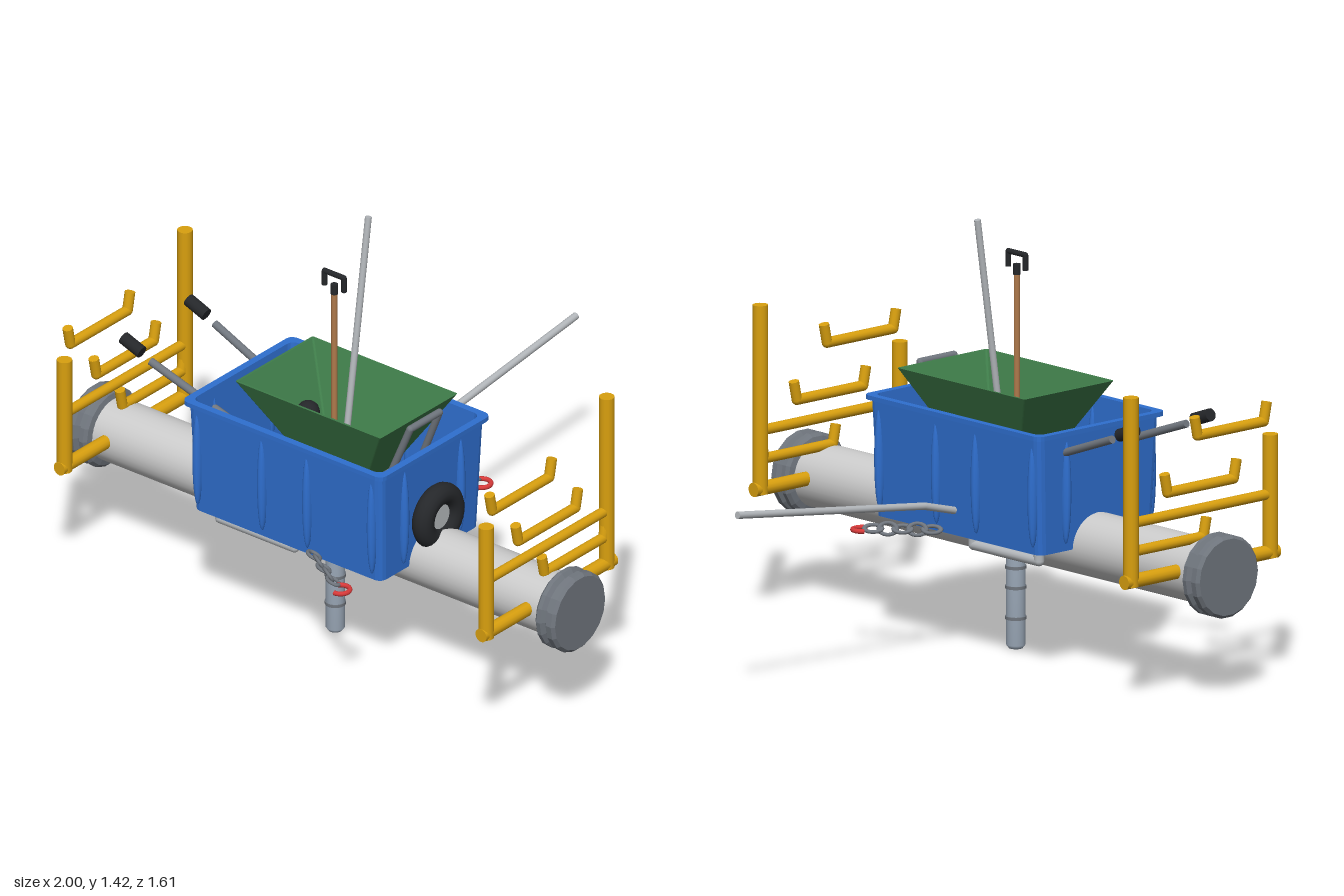
import * as THREE from 'three';

const mat = (color) => new THREE.MeshStandardMaterial({ color });
const GREY = mat(0xcccccc), STEEL = mat(0x70767e), METAL = mat(0xb4b8bc), PIPE = mat(0x96a3b2);
const YELLOW = mat(0xd9a00f), BLUE = mat(0x2f6fcf), GREEN = mat(0x3f7d4a);
const BLACK = mat(0x25272a), RED = mat(0xd83a3a), WOOD = mat(0xb07a4c);
const Z = 0.39; // depth of the main tube axis

const V = (p) => new THREE.Vector3(...p);

export function createModel() {
  const model = new THREE.Group();

  function add(name, geometry, material, pos = [0, 0, 0], parent = model) {
    const m = new THREE.Mesh(geometry, material);
    m.name = name;
    m.position.set(...pos);
    parent.add(m);
    return m;
  }

  // Straight round bar between two points
  function rod(name, a, b, r, material, parent = model, sides = 14) {
    const d = V(b).sub(V(a));
    const m = add(name, new THREE.CylinderGeometry(r, r, d.length(), sides), material,
      V(a).add(V(b)).multiplyScalar(0.5).toArray(), parent);
    m.quaternion.setFromUnitVectors(new THREE.Vector3(0, 1, 0), d.normalize());
    return m;
  }

  // Bent bar through several points, with round elbows
  function bentRod(name, pts, r, material, parent = model) {
    const g = new THREE.Group();
    g.name = name;
    parent.add(g);
    pts.slice(1).forEach((p, i) => {
      rod(name + 'Bar', pts[i], p, r, material, g);
      if (i > 0) add(name + 'Elbow', new THREE.SphereGeometry(r, 12, 8), material, pts[i], g);
    });
    return g;
  }

  // Rounded rectangular shell through levels [halfX, y, halfZ], floors at both ends
  function shell(levels, corner) {
    const rings = levels.map(([hx, y, hz]) => {
      const ring = [];
      for (let q = 0; q < 4; q++) {
        const sx = q === 0 || q === 3 ? 1 : -1, sz = q < 2 ? 1 : -1;
        for (let k = 0; k <= 3; k++) {
          const a = (q + k / 3) * Math.PI / 2;
          ring.push([sx * (hx - corner) + corner * Math.cos(a), y, sz * (hz - corner) + corner * Math.sin(a)]);
        }
      }
      return ring;
    });
    const n = rings[0].length, pos = [];
    const tri = (a, b, c) => pos.push(...a, ...b, ...c);
    for (let i = 0; i + 1 < rings.length; i++) for (let j = 0; j < n; j++) {
      const k = (j + 1) % n, [lo, hi] = [rings[i], rings[i + 1]];
      tri(lo[j], hi[j], hi[k]);
      tri(lo[j], hi[k], lo[k]);
    }
    const last = rings.length - 1;
    for (let j = 1; j < n - 1; j++) {
      tri(rings[0][0], rings[0][j], rings[0][j + 1]);
      tri(rings[last][0], rings[last][j + 1], rings[last][j]);
    }
    const g = new THREE.BufferGeometry();
    g.setAttribute('position', new THREE.Float32BufferAttribute(pos, 3));
    g.computeVertexNormals();
    return g;
  }

  // Main tube with grooved end caps
  rod('mainTube', [-0.95, 0.405, Z], [0.95, 0.405, Z], 0.105, GREY, model, 32);
  for (const s of [-1, 1]) {
    const cap = new THREE.LatheGeometry([[0, 0.9], [0.105, 0.915], [0.125, 0.92], [0.135, 0.93], [0.135, 0.945],
      [0.12, 0.955], [0.12, 0.96], [0.135, 0.97], [0.135, 0.99], [0.125, 1], [0, 1]]
      .map(([x, y]) => new THREE.Vector2(x, y)), 18).toNonIndexed();
    cap.computeVertexNormals();
    add('endCap', cap, STEEL, [0, 0.405, Z]).rotation.z = -s * Math.PI / 2;
  }

  // Pipe below the tube with clamping rings
  add('lowerPipe', new THREE.LatheGeometry([[0, 0], [0.022, 0], [0.031, 0.012], [0.031, 0.32], [0, 0.32]]
    .map(([x, y]) => new THREE.Vector2(x, y)), 20), PIPE, [0, 0, 0.395]);
  for (const y of [0.1, 0.2, 0.265])
    add('pipeRing', new THREE.CylinderGeometry(0.034, 0.034, 0.01, 20), STEEL, [0, y, 0.395]);

  // Open storage bin with a rim and swelling ribs
  add('bin', shell([[0.385, 0.405, 0.245], [0.397, 0.785, 0.262], [0.411, 0.785, 0.275], [0.411, 0.8, 0.275],
    [0.386, 0.8, 0.25], [0.372, 0.42, 0.232]], 0.025), BLUE, [0, 0, Z]);
  const rib = new THREE.SphereGeometry(1, 12, 12);
  for (const s of [-1, 1]) {
    for (const x of [-0.36, -0.095, 0.09, 0.355])
      add('binRib', rib, BLUE, [x, 0.6, Z + s * 0.253]).scale.set(0.016, 0.17, 0.02);
    for (const z of [-0.14, 0.14])
      add('binRib', rib, BLUE, [s * 0.391, 0.6, Z + z]).scale.set(0.02, 0.17, 0.016);
  }

  // Wheelbarrow lying in the bin
  const barrow = new THREE.Group();
  barrow.name = 'wheelbarrow';
  model.add(barrow);
  add('barrowTray', shell([[0.135, 0.62, 0.065], [0.298, 0.885, 0.193], [0.29, 0.885, 0.185], [0.13, 0.628, 0.06]], 0.006),
    GREEN, [0.04, 0, 0.388], barrow);
  for (const s of [-1, 1]) {
    bentRod('barrowHandle', [[-0.63, 0.815, Z + s * 0.16], [-0.15, 0.64, Z + s * 0.125], [0.38, 0.55, Z + s * 0.05]],
      0.013, STEEL, barrow);
    rod('barrowGrip', [-0.665, 0.835, Z + s * 0.161], [-0.74, 0.863, Z + s * 0.162], 0.021, BLACK, barrow);
    const z = Z + s * 0.19;
    bentRod('barrowLeg', [[-0.32, 0.44, z], [-0.32, 0.37, z], [-0.165, 0.37, z], [-0.015, 0.37, z], [-0.015, 0.44, z]],
      0.017, METAL, barrow);
  }
  bentRod('barrowGuard', [[0.25, 0.6, 0.31], [0.365, 0.88, 0.32], [0.365, 0.88, 0.465], [0.25, 0.6, 0.475]], 0.012, STEEL, barrow);
  add('wheelTyre', new THREE.TorusGeometry(0.075, 0.036, 14, 32), BLACK, [0.418, 0.555, Z], barrow).rotation.y = Math.PI / 2;
  rod('wheelHub', [0.38, 0.555, Z], [0.43, 0.555, Z], 0.05, METAL, barrow, 24);

  // Tools standing in the tray
  rod('shovelShaft', [0, 0.63, 0.4], [0, 1.23, 0.4], 0.01, WOOD);
  rod('shovelSocket', [0, 1.215, 0.4], [0, 1.25, 0.4], 0.012, BLACK);
  bentRod('shovelGrip', [[-0.04, 1.235, 0.4], [-0.04, 1.285, 0.4], [0.04, 1.285, 0.4], [0.04, 1.235, 0.4]], 0.009, BLACK);
  rod('uprightPole', [0, 0.65, 0.344], [0, 1.42, 0.23], 0.011, METAL);
  bentRod('rearPole', [[0, 0.49, 0.13], [0, 0.525, 0], [0, 0.625, -0.805]], 0.012, METAL);
  add('redKnob', new THREE.SphereGeometry(0.06, 20, 12), RED, [0.035, 0.69, Z]).scale.y = 0.6;
  add('blackKnob', new THREE.SphereGeometry(0.038, 18, 12), BLACK, [-0.12, 0.74, 0.385]);
  rod('lever', [-0.12, 0.74, 0.385], [0.08, 0.74, 0.395], 0.009, BLACK);
  add('leverEnd', new THREE.SphereGeometry(0.018, 12, 8), BLACK, [0.08, 0.73, 0.42]);

  // Pair of tool racks with upturned hook bars
  for (const x of [-0.865, 0.865]) {
    const rack = new THREE.Group();
    rack.name = 'toolRack';
    rack.position.x = x;
    model.add(rack);
    rod('rackTallPost', [0, 0.4, 0.093], [0, 1.015, 0.093], 0.025, YELLOW, rack);
    rod('rackShortPost', [0, 0.4, 0.694], [0, 0.8, 0.694], 0.025, YELLOW, rack);
    rod('rackBase', [0, 0.416, 0.063], [0, 0.416, 0.72], 0.023, YELLOW, rack);
    rod('rackRail', [0, 0.605, 0.1], [0, 0.605, 0.69], 0.017, YELLOW, rack);
    for (const [y, front, back] of [[0.845, 0.665, 0.38], [0.68, 0.535, 0.25], [0.512, 0.405, 0.11]])
      bentRod('rackHook', [[0, y + 0.062, front + 0.013], [0, y, front], [0, y, back], [0, y + 0.062, back - 0.013]],
        0.017, YELLOW, rack);
  }

  // Chains with red hooks, front and back
  const link = new THREE.TorusGeometry(0.02, 0.006, 8, 16);
  for (const [a, b, hook] of [
    [[0.055, 0.085], [0.195, -0.04], [0.23, -0.055]],
    [[0.13, 0.66], [0.285, 0.752], [0.33, 0.77]]]) {
    const heading = Math.atan2(a[1] - b[1], b[0] - a[0]);
    for (let i = 0; i < 5; i++) {
      const t = i / 4;
      const m = add('chainLink', link, STEEL, [a[0] + (b[0] - a[0]) * t, 0.425, a[1] + (b[1] - a[1]) * t]);
      m.rotation.set(i % 2 ? 0.5 : Math.PI / 2 - 0.4, heading, 0, 'YXZ');
      m.scale.x = 1.4;
    }
    const h = add('chainHook', new THREE.TorusGeometry(0.03, 0.008, 8, 20, 4.2), RED, [hook[0], 0.418, hook[1]]);
    h.rotation.set(-Math.PI / 2, 0, -1.6);
  }
  return model;
}
